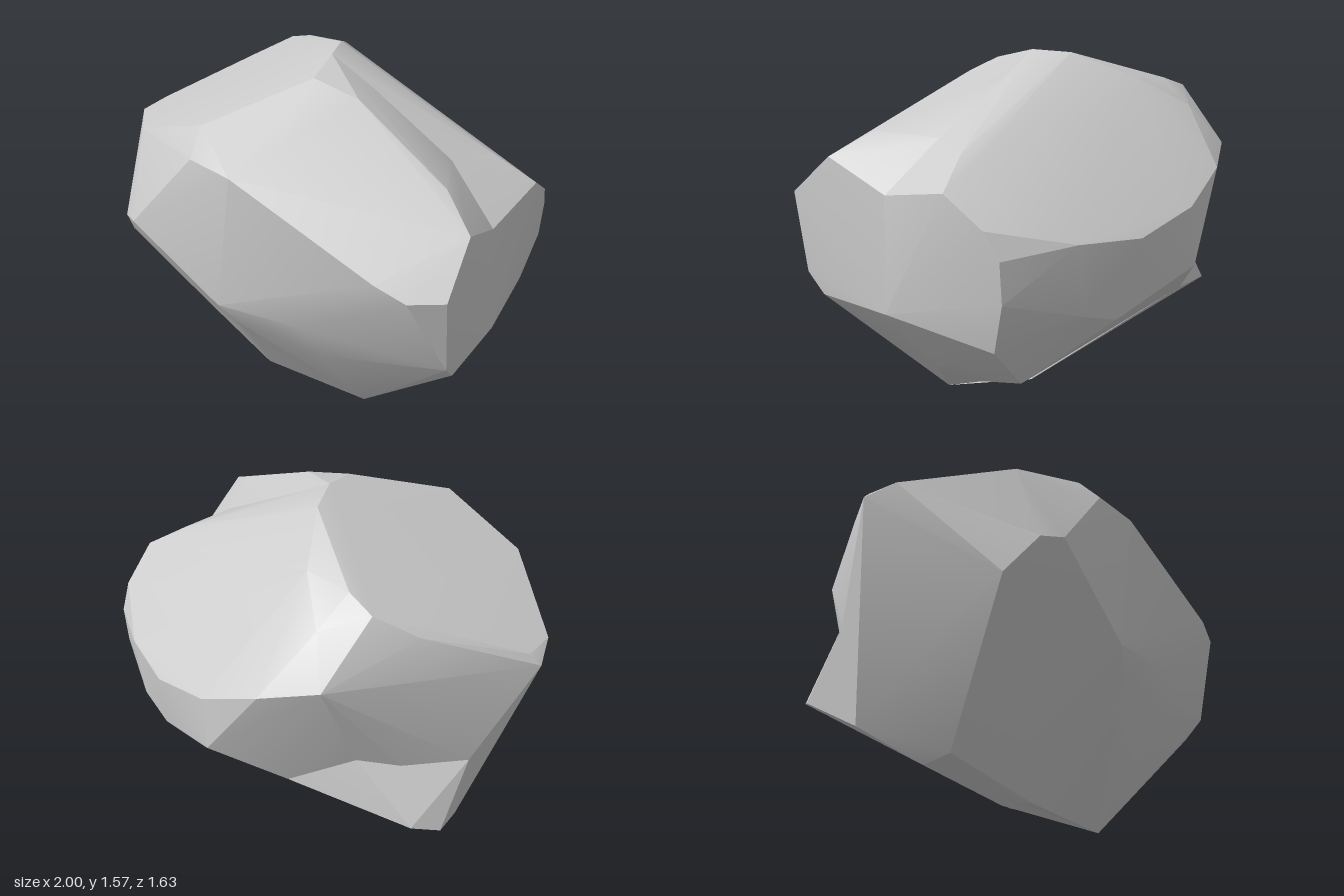
import * as THREE from 'three';
import { ConvexGeometry } from 'three/addons/geometries/ConvexGeometry.js';
import { toCreasedNormals } from 'three/addons/utils/BufferGeometryUtils.js';

const material = new THREE.MeshStandardMaterial({ color: 0xcccccc });

// A faceted block of stone: the hull of its corner points, softened at shallow edges
function stone(name, corners) {
  const points = corners.map((c) => new THREE.Vector3(...c));
  const mesh = new THREE.Mesh(toCreasedNormals(new ConvexGeometry(points), 0.32), material);
  mesh.name = name;
  return mesh;
}

export function createModel() {
  const rock = new THREE.Group();
  rock.name = 'rock';

  // Corners where neighbouring masses meet
  const peak = [[0, 1.58, 0.02], [-0.1, 1.57, -0.13]];
  const brow = [[0.07, 1.54, 0.19], [-0.1, 1.29, 0.71], [0.12, 1.28, 0.69], [0, 0.62, 0.7], [0.07, 0.53, 0.64]];
  const foot = [[0.03, 0.32, 0.48], [-0.14, 0.01, 0.32], [0.38, 0.01, 0.18]];
  const backLeft = [[-0.5, 1.45, -0.31], [-0.5, 1.34, -0.47], [-0.63, 1.17, -0.56]];
  const hollow = [[-0.62, 0.69, -0.36]];
  const heel = [[-0.2, 0.01, 0.3], [-0.62, 0.09, 0.22], [-0.83, 0.24, 0.06], [-0.9, 0.66, 0.02]];
  const seam = [
    [0.58, 1.25, -0.1], [0.83, 1.04, -0.08], [0.86, 0.55, -0.1],
    [0.64, 0.28, -0.14], [0.44, 0.17, -0.18], [0.32, 0.16, -0.17],
  ];

  // Front and left mass with the sloping top shelf
  rock.add(stone('leftMass', [
    ...peak, ...brow, ...foot, ...backLeft, ...hollow, ...heel,
    [-0.13, 1.4, 0.62], [-0.53, 1.26, 0.65], [-0.93, 1.14, 0.39], [-1, 1.1, 0.27],
    [-0.96, 1.15, 0.24], [-0.84, 1.23, 0], [-0.76, 1.32, -0.18], [-0.63, 1.41, -0.31],
    [-0.43, 0.9, 0.81], [-0.53, 0.88, 0.78], [-0.64, 0.72, 0.69], [-0.58, 0.12, 0.33],
  ]));

  // Front right shoulder
  rock.add(stone('rightShoulder', [
    ...peak, ...brow, ...foot, ...seam,
    [0.27, 1.49, 0.13], [0.75, 1.27, 0.13], [0.93, 1.17, 0.2], [1, 1, 0.4],
    [0.9, 1, 0.51], [0.78, 1.05, 0.56], [0.4, 0.67, 0.6], [0.45, 0.5, 0.51],
    [0.98, 0.65, 0.35], [0.95, 0.56, 0.27],
  ]));

  // Rear mass with the long back slope
  rock.add(stone('rearMass', [
    ...peak, ...backLeft, ...hollow, ...seam,
    [-0.3, 1.46, -0.35], [0.62, 1.22, -0.32], [0.78, 1.1, -0.43], [0.72, 0.98, -0.6],
    [0.69, 0.87, -0.66], [0.68, 0.7, -0.66], [0.66, 0.48, -0.58], [0.5, 0.3, -0.54],
    [0.4, 0.91, -0.77], [0.12, 0.9, -0.82], [-0.18, 0.98, -0.8], [-0.43, 1.1, -0.71],
    [0.38, 0.62, -0.76], [0.2, 0.57, -0.77], [-0.2, 0.73, -0.81], [-0.4, 0.53, -0.55],
  ]));

  // Flat underside with its projecting lower left lip
  rock.add(stone('underside', [
    ...foot.slice(1), ...heel, ...hollow,
    [0.32, 0.16, -0.17], [0.44, 0.3, -0.53], [-0.4, 0.53, -0.55],
    [-0.75, 0.46, -0.34], [-0.87, 0.42, -0.27], [-0.93, 0.37, -0.15], [0.1, 0.8, -0.2],
  ]));

  return rock;
}
